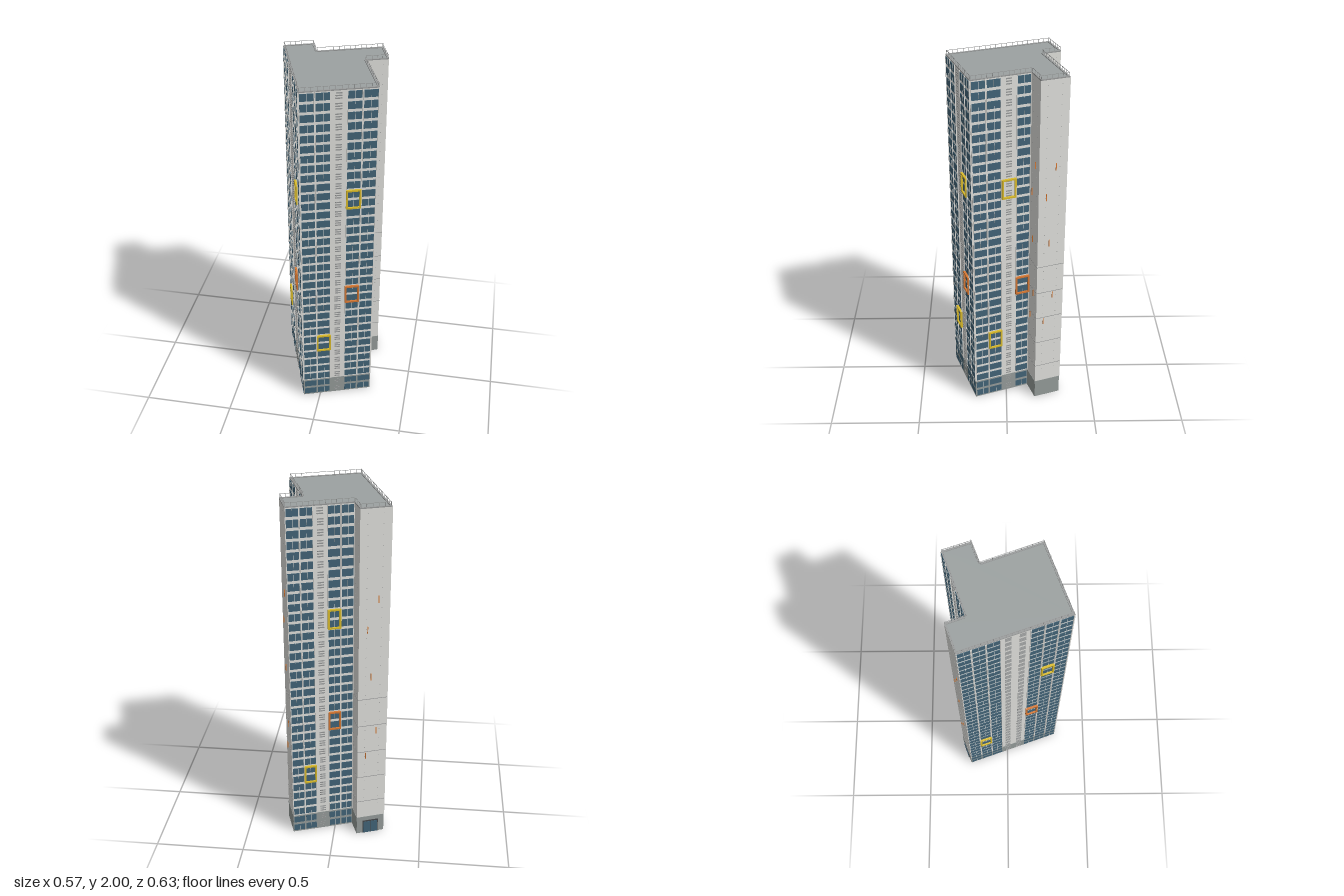
import * as THREE from 'three';
import { mergeGeometries } from 'three/addons/utils/BufferGeometryUtils.js';

const FLOORS = 35, TOP = 1.976, PITCH = TOP / FLOORS, PLINTH = 2 * PITCH;

const mat = (name, color) => {
  const m = new THREE.MeshStandardMaterial({ color });
  m.name = name;
  return m;
};

export function createModel() {
  const M = {
    wall: mat('pale wall', 0xe3e3df),
    base: mat('grey plinth', 0x979e9c),
    roof: mat('roof grey', 0x9ca2a1),
    glass: mat('blue glass', 0x436579),
    dark: mat('dark metal', 0x45484b),
    vent: mat('vent grey', 0x9b9d9d),
    yellow: mat('yellow frame', 0xdcbd2c),
    orange: mat('orange frame', 0xd97a34),
  };
  const model = new THREE.Group();
  model.name = 'tower';

  // Footprint corners (x, z), walked so that outside is on the local +z side
  const [H, G, F, E, D, C, B, A] = [
    [-0.093, 0.308], [0.281, 0.177], [0.171, -0.126], [0.283, -0.166],
    [0.234, -0.309], [-0.098, -0.194], [-0.133, -0.289], [-0.284, -0.235],
  ];

  // Solid core: caps in roof grey, sides in wall colour
  const shape = new THREE.Shape([H, G, F, E, D, C, B, A].map(([x, z]) => new THREE.Vector2(x, -z)));
  const coreGeo = new THREE.ExtrudeGeometry(shape, { depth: TOP, bevelEnabled: false });
  coreGeo.rotateX(-Math.PI / 2);
  const core = new THREE.Mesh(coreGeo, [M.roof, M.wall]);
  core.name = 'core';
  model.add(core);

  // A wall group with local x along the wall, y up and z outward;
  // boxes are gathered by part name and merged into one mesh each
  function makeWall(name, a, b) {
    const dx = b[0] - a[0], dz = b[1] - a[1];
    const group = new THREE.Group();
    group.name = name;
    group.position.set(a[0], 0, a[1]);
    group.rotation.y = Math.atan2(-dz, dx);
    model.add(group);
    const parts = new Map();
    return {
      length: Math.hypot(dx, dz),
      // box centred at x, y, standing out from z0 by depth d
      box(part, material, x, y, w, h, d, z0 = 0) {
        if (!parts.has(part)) parts.set(part, { material, list: [] });
        parts.get(part).list.push(new THREE.BoxGeometry(w, h, d).translate(x, y, z0 + d / 2));
      },
      finish() {
        for (const [part, { material, list }] of parts) {
          const mesh = new THREE.Mesh(mergeGeometries(list), material);
          mesh.name = part;
          group.add(mesh);
        }
      },
    };
  }

  // Plinth band at the foot, parapet, guard rail and posts at the top
  function footAndRoofEdge(w) {
    const L = w.length;
    w.box('plinth', M.base, L / 2, PLINTH / 2, L, PLINTH, 0.0015);
    w.box('parapet', M.vent, L / 2, TOP + 0.001, L, 0.006, 0.01, -0.009);
    w.box('guardRail', M.vent, L / 2, 1.9985, L, 0.002, 0.002, -0.005);
    const n = Math.max(3, Math.round(L / 0.03));
    for (let i = 0; i <= n; i++)
      w.box('railPosts', M.vent, 0.003 + (L - 0.006) * i / n, 1.988, 0.002, 0.022, 0.002, -0.005);
  }

  // Projecting frame around two floors of one module
  function accentFrame(w, material, x, floor, width) {
    const y = (floor + 1) * PITCH, h = PLINTH, t = 0.009, d = 0.012;
    const part = material === M.yellow ? 'yellowFrames' : 'orangeFrames';
    for (const s of [-1, 1]) {
      w.box(part, material, x + s * (width - t) / 2, y, t, h, d);
      w.box(part, material, x, y + s * (h - t) / 2, width - 2 * t, t, d);
    }
  }

  // Glazed facade: W is a window module, S a solid strip with vents
  function glazedWall(name, a, b, pattern, accents) {
    const w = makeWall(name, a, b);
    const m = w.length / pattern.length;
    [...pattern].forEach((kind, i) => {
      const x = (i + 0.5) * m;
      if (kind === 'W') {
        for (const s of [-1, 1])
          w.box('windowFins', M.wall, x + s * m * 0.465, (TOP + PLINTH) / 2, 0.003, TOP - PLINTH, 0.005);
      }
      for (let f = 0; f < FLOORS; f++) {
        const y = (f + 0.5) * PITCH;
        if (kind === 'S') {
          for (const k of [-1, 0, 1])
            w.box('ventSlats', M.vent, x, y + k * 0.014, 0.032, 0.006, 0.003);
        } else {
          w.box('windows', M.glass, x, y, m * 0.88, 0.04, 0.0025);
          w.box('mullions', M.wall, x + m * 0.02, y, 0.0015, 0.04, 0.0035);
        }
      }
    });
    for (const [material, module, floor] of accents)
      accentFrame(w, M[material], (module + 0.5) * m, floor, m);
    footAndRoofEdge(w);
    w.finish();
  }

  // Plain wall with floor joints, small ledges and slim orange marker fins
  function plainWall(name, a, b, markers, door = false) {
    const w = makeWall(name, a, b), L = w.length;
    for (const f of [4, 7, 10, 13, 16])
      w.box('floorJoints', M.vent, L / 2, f * PITCH, L, 0.003, 0.001);
    for (let f = 3; f < FLOORS; f++)
      for (const t of [0.25, 0.75])
        w.box('ledges', M.vent, L * t, (f + 0.5) * PITCH, 0.004, 0.002, 0.0015);
    for (const [t, y] of markers)
      w.box('markerFins', M.orange, L * t, y, 0.004, 0.04, 0.004);
    if (door) {
      w.box('doorFrame', M.dark, L / 2, 0.043, 0.092, 0.086, 0.004);
      for (const s of [-1, 1])
        w.box('doorGlass', M.glass, L / 2 + s * 0.0215, 0.04, 0.04, 0.076, 0.006);
    }
    footAndRoofEdge(w);
    w.finish();
  }

  glazedWall('frontFacade', H, G, 'WWSWW', [['yellow', 1, 6], ['orange', 3, 12], ['yellow', 3, 23]]);
  glazedWall('leftFacade', G, F, 'WWSW', [['yellow', 1, 6], ['orange', 3, 12], ['yellow', 2, 23]]);
  glazedWall('backFacade', D, C, 'WWSWW', [['yellow', 1, 6], ['orange', 3, 12], ['yellow', 3, 23]]);
  glazedWall('rightFacade', A, H, 'WWWSSWWW', [['yellow', 1, 6], ['orange', 5, 12], ['yellow', 6, 23]]);

  plainWall('leftWingFront', F, E, [[0.6, 1.5], [0.26, 1.33], [0.42, 1.05], [0.6, 0.71], [0.26, 0.54]]);
  plainWall('leftWingSide', E, D, [[0.61, 1.5], [0.28, 1.33], [0.43, 1.05], [0.61, 0.71], [0.28, 0.54]]);
  plainWall('backWingSide', C, B, []);
  plainWall('backWingEnd', B, A, [[0.64, 1.49], [0.29, 1.32], [0.43, 1.04], [0.64, 0.7], [0.29, 0.54]], true);

  return model;
}
